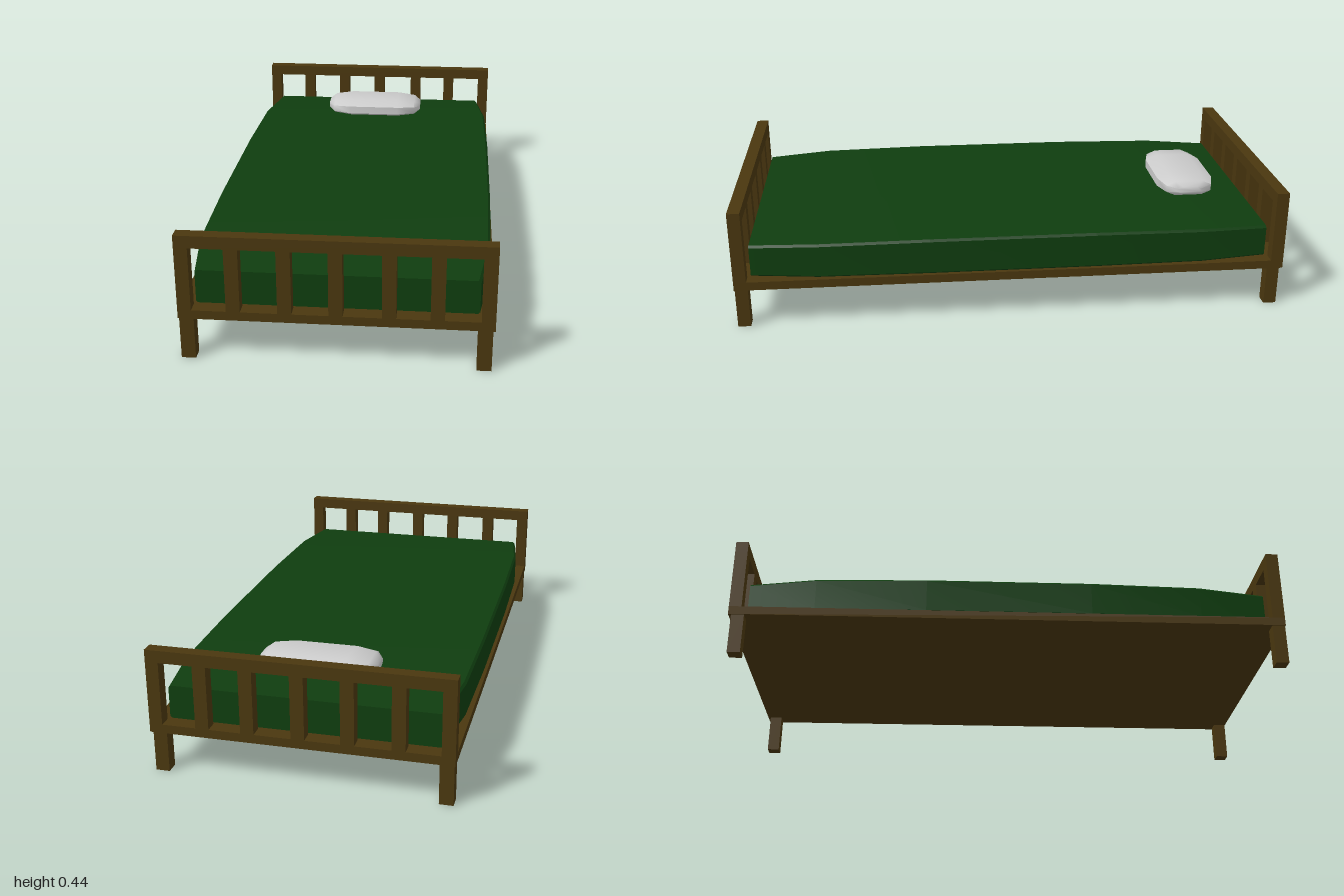
import * as THREE from 'three';
import { toCreasedNormals } from 'three/addons/utils/BufferGeometryUtils.js';

const wood = new THREE.MeshStandardMaterial({ color: 0x4a370f });
const green = new THREE.MeshStandardMaterial({ color: 0x0f3d0f });
const grey = new THREE.MeshStandardMaterial({ color: 0xcccccc });

// Box given by its minimum and maximum corners
function box(name, x0, x1, y0, y1, z0, z1) {
  const mesh = new THREE.Mesh(new THREE.BoxGeometry(x1 - x0, y1 - y0, z1 - z0), wood);
  mesh.name = name;
  mesh.position.set((x0 + x1) / 2, (y0 + y1) / 2, (z0 + z1) / 2);
  return mesh;
}

// Skin over counter-clockwise rings ordered along +z, with closed ends
function loft(rings, crease) {
  const n = rings[0].length;
  const positions = rings.flat(2);
  const index = [];
  for (let r = 0; r < rings.length - 1; r++) {
    for (let i = 0; i < n; i++) {
      const a = r * n + i, b = r * n + (i + 1) % n;
      index.push(a, b, b + n, a, b + n, a + n);
    }
  }
  const last = (rings.length - 1) * n;
  for (let i = 1; i < n - 1; i++) {
    index.push(0, i + 1, i, last, last + i, last + i + 1);
  }
  const geometry = new THREE.BufferGeometry();
  geometry.setAttribute('position', new THREE.Float32BufferAttribute(positions, 3));
  geometry.setIndex(index);
  return toCreasedNormals(geometry, crease);
}

// Rectangle with chamfered corners, centred on x = 0
function chamferedRing(z, w, y0, y1, cx, cy) {
  return [
    [w, y0 + cy], [w, y1 - cy], [w - cx, y1], [cx - w, y1],
    [-w, y1 - cy], [-w, y0 + cy], [cx - w, y0], [w - cx, y0],
  ].map(([x, y]) => [x, y, z]);
}

// Slatted end panel
function endBoard(name, z0, z1) {
  const board = new THREE.Group();
  board.name = name;
  board.add(box('topRail', -0.515, 0.515, 0.4, 0.443, z0, z1));
  for (const s of [-1, 1]) {
    board.add(box('post', s * 0.4925 - 0.0225, s * 0.4925 + 0.0225, 0.178, 0.4, z0, z1));
  }
  for (const x of [-0.332, -0.164, 0.002, 0.174, 0.33]) {
    board.add(box('slat', x - 0.023, x + 0.023, 0.178, 0.4, z0, z1));
  }
  return board;
}

export function createModel() {
  const bed = new THREE.Group();
  bed.name = 'bed';

  // Base slab, end boards and legs
  bed.add(box('base', -0.515, 0.515, 0.147, 0.178, -1, 1));
  bed.add(endBoard('footboard', 0.955, 1));
  bed.add(endBoard('headboard', -1, -0.955));
  for (const [z0, z1] of [[0.952, 0.998], [-0.99, -0.944]]) {
    bed.add(box('leg', 0.46, 0.508, 0, 0.147, z0, z1));
    bed.add(box('leg', -0.511, -0.463, 0, 0.147, z0, z1));
  }

  // Mattress, bulging towards the middle
  const stations = [
    [-0.943, 0.465, 0.296], [-0.7, 0.498, 0.305], [-0.3, 0.505, 0.31],
    [0.3, 0.505, 0.31], [0.7, 0.498, 0.305], [0.943, 0.465, 0.296],
  ];
  const mattress = new THREE.Mesh(
    loft(stations.map(([z, w, top]) => chamferedRing(z, w, 0.176, top, 0.008, 0.008)), 0.4), green);
  mattress.name = 'mattress';
  bed.add(mattress);

  // Pillow, lofted along its length and laid across the bed
  const pillowStations = [[0.205, 0.045, 0.014], [0.18, 0.088, 0.028], [0.105, 0.108, 0.035]];
  const profile = [
    ...pillowStations.map(([z, w, h]) => [-z, w, h]),
    ...pillowStations.slice().reverse(),
  ];
  const pillow = new THREE.Mesh(
    loft(profile.map(([z, w, h]) => chamferedRing(z, w, -h, h, w * 0.4, h * 0.55)), 1.1), grey);
  pillow.name = 'pillow';
  pillow.rotation.y = Math.PI / 2;
  pillow.position.set(0, 0.343, -0.719);
  bed.add(pillow);

  return bed;
}
